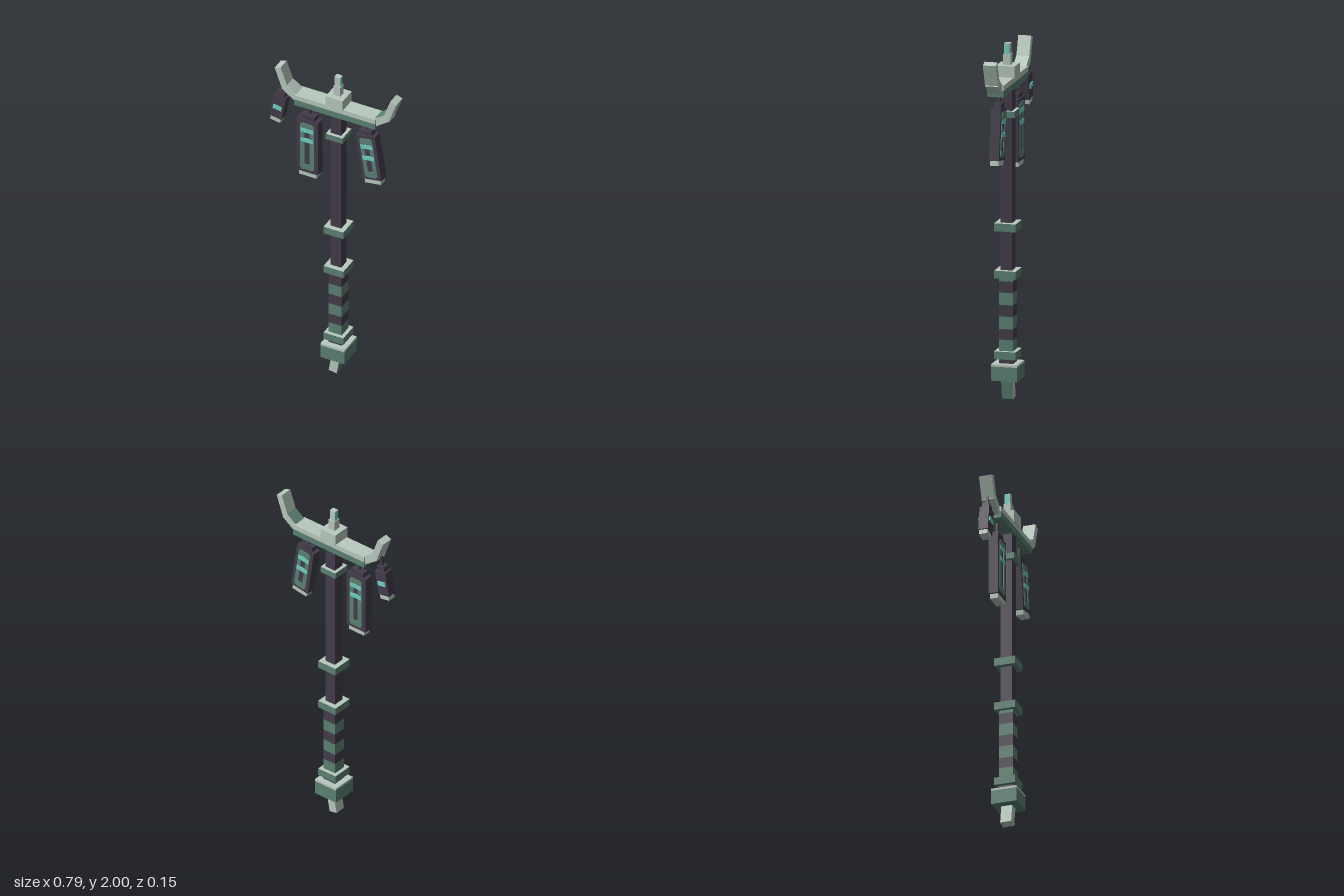
import * as THREE from 'three';

export function createModel() {
  const mat = (name, color) => {
    const m = new THREE.MeshStandardMaterial({ color });
    m.name = name;
    return m;
  };
  const pale = mat('pale jade', 0xb9cac0);
  const green = mat('deep jade', 0x5c8274);
  const dark = mat('dark wood', 0x433d4b);
  const teal = mat('bright teal', 0x70d2c4);

  const CX = 0.02; // axis of the staff
  const model = new THREE.Group();
  model.name = 'ceremonialStaff';

  const box = (parent, name, material, w, h, d, x, y, z = 0, rot = 0) => {
    const mesh = new THREE.Mesh(new THREE.BoxGeometry(w, h, d), material);
    mesh.name = name;
    mesh.position.set(x, y, z);
    mesh.rotation.z = rot;
    parent.add(mesh);
    return mesh;
  };
  // Box centred on the staff between two heights
  const block = (name, material, w, d, y0, y1) =>
    box(model, name, material, w, y1 - y0, d, CX, (y0 + y1) / 2);
  // Box laid along a line in the xy plane
  const bar = (parent, name, material, a, b, width, depth) => {
    const dx = b[0] - a[0], dy = b[1] - a[1];
    return box(parent, name, material, Math.hypot(dx, dy), width, depth,
      (a[0] + b[0]) / 2, (a[1] + b[1]) / 2, 0, Math.atan2(dy, dx));
  };
  const paleTop = [green, green, pale, green, green, green];

  // Pole and banded grip
  block('pole', dark, 0.066, 0.066, 0.2, 1.76);
  const bands = [0.207, 0.276, 0.34, 0.4, 0.47, 0.535, 0.604, 0.668, 0.69];
  for (let i = 0; i < bands.length - 1; i++) {
    block('gripBand', i % 2 ? green : dark, 0.08, 0.08, bands[i], bands[i + 1]);
  }

  // Collars and pommel
  for (const [y0, y1, w] of [[1.59, 1.626, 0.104], [0.951, 0.996, 0.122],
    [0.686, 0.73, 0.122], [0.233, 0.277, 0.122]]) {
    block('collar', paleTop, w, w, y0, y1);
  }
  block('pommel', green, 0.148, 0.148, 0.114, 0.194);
  block('pommelRim', pale, 0.148, 0.148, 0.194, 0.207);

  // Slanted foot spike
  box(model, 'footSpike', [green, pale, pale, pale, pale, pale],
    0.05, 0.13, 0.064, 0.011, 0.069, 0, -0.17);
  box(model, 'footWedge', green, 0.03, 0.06, 0.05, 0.031, 0.1, 0, -0.17);

  // Crossbeam, cap and finial
  block('beamBase', green, 0.5, 0.094, 1.75, 1.787);
  block('beamTop', pale, 0.5, 0.094, 1.787, 1.817);
  block('beamCap', pale, 0.106, 0.106, 1.81, 1.88);
  block('finialBase', pale, 0.042, 0.042, 1.88, 1.94);
  block('finialTip', pale, 0.032, 0.032, 1.94, 2.0);
  for (const s of [-1, 1]) {
    box(model, 'finialInlay', teal, 0.004, 0.058, 0.026, CX + s * 0.0165, 1.97);
  }

  // Upturned horns at the beam ends
  for (const s of [-1, 1]) {
    const px = (u) => CX + s * u;
    const lowerMat = s > 0 ? [pale, pale, green, pale, pale, pale] : pale;
    // points run in +x so that the box's +y face stays on top
    const lower = [[px(0.232), 1.783], [px(0.32), 1.846]];
    if (s < 0) lower.reverse();
    bar(model, s > 0 ? 'leftHornRoot' : 'rightHornRoot', lowerMat, lower[0], lower[1], 0.045, 0.074);
    bar(model, s > 0 ? 'leftHornTip' : 'rightHornTip', pale,
      [px(0.313), 1.838], [px(0.357), 1.96], 0.039, 0.073);
  }

  // Panel with clipped corners and a slot
  const panelGeometry = (w, h) => {
    const c = 0.012, x = w / 2, y = h / 2;
    const shape = new THREE.Shape([[-x + c, -y], [x - c, -y], [x, -y + c], [x, y - c],
      [x - c, y], [-x + c, y], [-x, y - c], [-x, -y + c]].map((p) => new THREE.Vector2(...p)));
    const sx = 0.015, b = -y + 0.036, t = y - 0.036;
    shape.holes.push(new THREE.Path([[-sx, b], [-sx, t], [sx, t], [sx, b]]
      .map((p) => new THREE.Vector2(...p))));
    return new THREE.ExtrudeGeometry(shape, { depth: 0.004, bevelEnabled: false });
  };

  // Hanging lantern tags
  const tag = (name, x, y, w, h, rot, barHeights, barW, hasPanel, hook) => {
    const g = new THREE.Group();
    g.name = name;
    g.position.set(x, y, 0);
    g.rotation.z = rot;
    model.add(g);
    const d = 0.056, capH = 0.03;
    box(g, 'tagBody', dark, w, h, d, 0, 0);
    box(g, 'tagCap', dark, w * 0.65, capH, d * 0.75, 0, h / 2 + capH / 2);
    box(g, 'tagFoot', pale, w * 0.82, 0.028, d * 0.85, 0, -h / 2 - 0.014);
    for (const s of [-1, 1]) {
      if (hasPanel) {
        const panel = new THREE.Mesh(panelGeometry(w * 0.66, h * 0.89), green);
        panel.name = 'tagPanel';
        panel.position.z = s > 0 ? d / 2 : -d / 2 - 0.004;
        g.add(panel);
      }
      for (const by of barHeights) {
        box(g, 'tagGlowBar', teal, barW, 0.026, 0.006, 0, by, s * (d / 2 + 0.003));
      }
    }
    const up = h / 2 + capH - 0.005;
    bar(model, 'tagCord', dark, [x - Math.sin(rot) * up, y + Math.cos(rot) * up], hook, 0.014, 0.014);
  };
  tag('longTag', -0.159, 1.478, 0.132, 0.35, 0, [0.109, 0.043], 0.078, true, [-0.159, 1.76]);
  tag('middleTag', 0.22, 1.53, 0.12, 0.285, 0.15, [0.073, 0], 0.074, true, [0.193, 1.76]);
  tag('smallTag', -0.342, 1.683, 0.075, 0.148, -0.17, [0], 0.052, false, [-0.313, 1.84]);

  return model;
}
